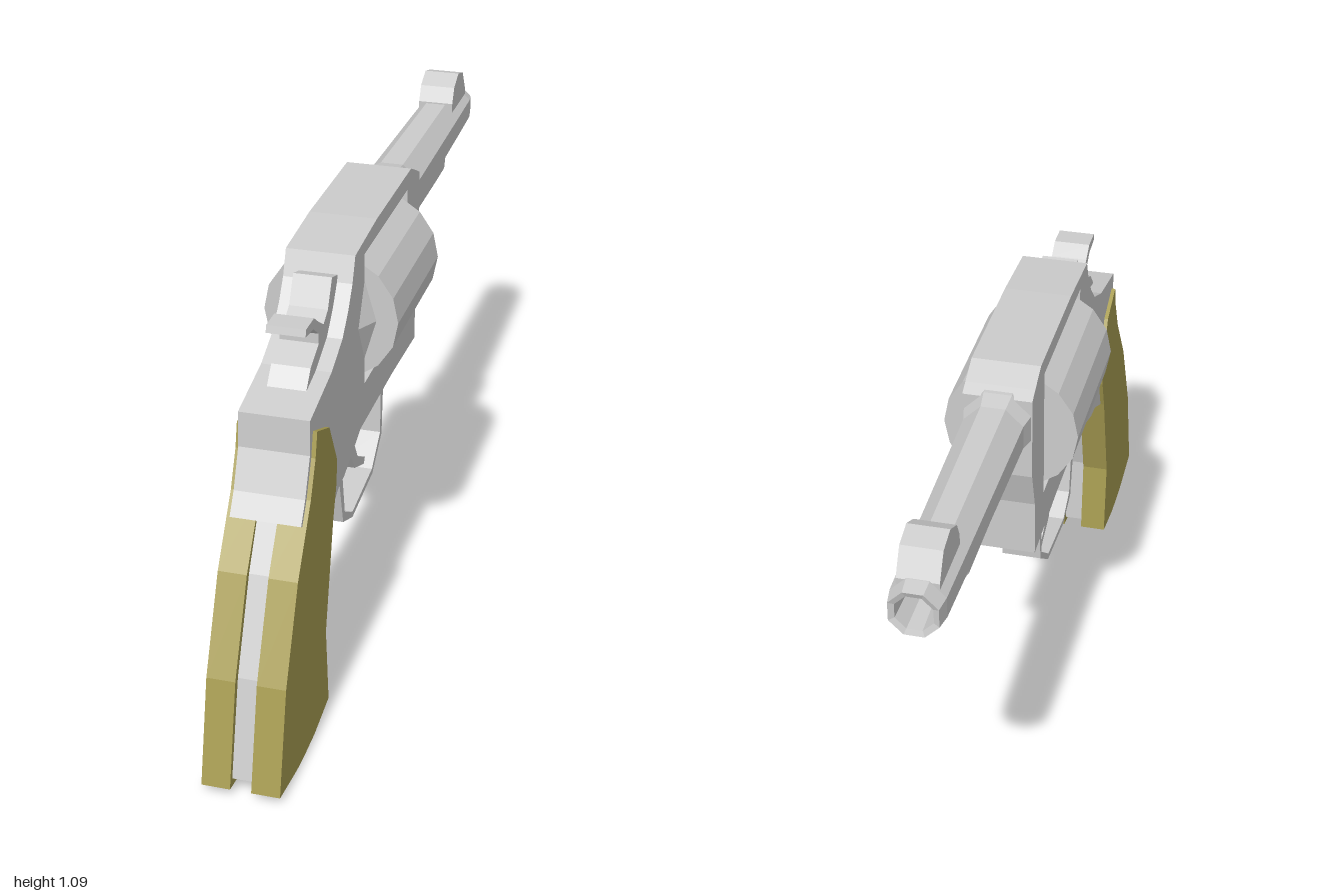
import * as THREE from 'three';

const steel = new THREE.MeshStandardMaterial({ color: 0xcccccc, flatShading: true });
const steelOpen = new THREE.MeshStandardMaterial({ color: 0xcccccc, flatShading: true, side: THREE.DoubleSide });
const wood = new THREE.MeshStandardMaterial({ color: 0xa89d52, flatShading: true });

// Side profile given as [z, y] points, extruded across x from x0 to x1
function slab(name, profile, x0, x1, material = steel, hole = null) {
  const toVec = ([z, y]) => new THREE.Vector2(-z, y);
  const shape = new THREE.Shape(profile.map(toVec));
  if (hole) shape.holes.push(new THREE.Path(hole.map(toVec)));
  const geo = new THREE.ExtrudeGeometry(shape, { depth: x1 - x0, bevelEnabled: false });
  geo.rotateY(Math.PI / 2).translate(x0, 0, 0);
  const mesh = new THREE.Mesh(geo, material);
  mesh.name = name;
  return mesh;
}

export function createModel() {
  const group = new THREE.Group();
  const add = (mesh, name) => {
    if (name) mesh.name = name;
    group.add(mesh);
    return mesh;
  };

  // Frame with a window for the cylinder
  add(slab('frame', [
    [0.70, 0.825], [0.53, 0.86], [0.44, 0.90], [0.39, 0.95], [0.355, 1.0], [0.33, 1.06],
    [0.14, 1.073], [-0.19, 1.073], [-0.25, 1.045], [-0.28, 1.03], [-0.28, 0.82], [-0.25, 0.72],
    [-0.25, 0.575], [-0.02, 0.585], [0.285, 0.585], [0.355, 0.56], [0.43, 0.535], [0.48, 0.53],
    [0.56, 0.49], [0.66, 0.55], [0.778, 0.60], [0.745, 0.65], [0.705, 0.74],
  ], -0.083, 0.083, steel, [[0.25, 0.69], [-0.155, 0.69], [-0.155, 1.03], [0.25, 1.03]]));

  // Rotating cylinder, 16 sides
  const drum = new THREE.CylinderGeometry(0.165, 0.165, 0.4, 16);
  drum.rotateY(Math.PI / 2).rotateX(Math.PI / 2).translate(0, 0.86, 0.05);
  add(new THREE.Mesh(drum, steel), 'cylinder');

  // Tapered shield behind the cylinder
  const shield = new THREE.CylinderGeometry(0.08, 0.112, 0.06, 8);
  shield.rotateX(Math.PI / 2).scale(1, 1.45, 1).translate(0, 0.86, 0.28);
  add(new THREE.Mesh(shield, steel), 'recoilShield');

  // Octagonal barrel with a hollow muzzle: [apothem, distance forward]
  const barrelProfile = [
    [0.081, 0.24], [0.081, 0.275], [0.071, 0.32], [0.064, 0.8], [0.061, 0.96],
    [0.055, 1.0], [0.042, 0.995], [0.036, 0.84], [0, 0.84],
  ].map(([a, d]) => new THREE.Vector2(a / Math.cos(Math.PI / 8), d));
  const barrel = new THREE.LatheGeometry(barrelProfile, 8, Math.PI / 8);
  barrel.rotateX(-Math.PI / 2).translate(0, 0.957, 0);
  add(new THREE.Mesh(barrel, steelOpen), 'barrel');

  // Ejector shroud with chamfered lower edges
  const section = new THREE.Shape([
    [-0.045, 0.92], [-0.045, 0.865], [-0.028, 0.833], [0.028, 0.833], [0.045, 0.865], [0.045, 0.92],
  ].map(([x, y]) => new THREE.Vector2(x, y)));
  const shroud = new THREE.ExtrudeGeometry(section, { depth: 0.47, bevelEnabled: false });
  shroud.translate(0, 0, -0.73);
  // Slant the front end back toward the bottom
  const p = shroud.attributes.position;
  for (let i = 0; i < p.count; i++) {
    if (p.getZ(i) < -0.7) p.setZ(i, -0.71 - (p.getY(i) - 0.833) * 0.45);
  }
  add(new THREE.Mesh(shroud, steel), 'ejectorShroud');

  add(slab('frontSight', [
    [-0.80, 1.0], [-0.80, 1.025], [-0.82, 1.065], [-0.87, 1.09], [-0.925, 1.075], [-0.96, 1.015], [-0.96, 1.0],
  ], -0.047, 0.047));

  add(slab('hammer', [
    [0.61, 0.83], [0.605, 0.845], [0.57, 0.885], [0.505, 0.915], [0.505, 0.94], [0.545, 0.97],
    [0.605, 0.978], [0.60, 0.995], [0.54, 0.995], [0.505, 0.97], [0.465, 0.945], [0.43, 0.965],
    [0.395, 1.03], [0.345, 1.015], [0.345, 0.9], [0.45, 0.82],
  ], -0.046, 0.046));

  // Trigger guard: outer edge front to back, then the inner edge
  add(slab('triggerGuard', [
    [0.435, 0.56], [0.435, 0.53], [0.355, 0.46], [0.325, 0.34], [0.24, 0.305], [0.05, 0.325],
    [-0.04, 0.395], [-0.055, 0.55], [-0.09, 0.59], [0.0, 0.59], [-0.03, 0.55], [-0.025, 0.405],
    [0.055, 0.34], [0.24, 0.32], [0.31, 0.36], [0.33, 0.475], [0.275, 0.56], [0.275, 0.60],
  ], -0.05, 0.05));

  add(slab('trigger', [
    [0.28, 0.60], [0.28, 0.57], [0.205, 0.535], [0.195, 0.46], [0.145, 0.39], [0.06, 0.355],
    [0.05, 0.37], [0.12, 0.41], [0.15, 0.46], [0.115, 0.56], [0.115, 0.60],
  ], -0.03, 0.03));

  // Grip core between the two panels
  add(slab('gripCore', [
    [0.60, 0.65], [0.58, 0.49], [0.645, 0.225], [0.63, 0.035], [0.73, 0.025], [0.87, 0.025],
    [0.982, 0.04], [0.922, 0.275], [0.825, 0.49], [0.75, 0.61], [0.70, 0.70],
  ], -0.027, 0.027));

  // Mirrored grip panels
  const panel = [
    [0.68, 0.79], [0.585, 0.75], [0.525, 0.635], [0.53, 0.575], [0.56, 0.49], [0.627, 0.225],
    [0.61, 0.022], [0.73, 0.002], [0.82, 0], [0.87, 0.003], [1.0, 0.022], [0.94, 0.275],
    [0.84, 0.495], [0.735, 0.645], [0.695, 0.73],
  ];
  add(slab('leftGripPanel', panel, 0.025, 0.093, wood));
  add(slab('rightGripPanel', panel, -0.093, -0.025, wood));

  return group;
}
